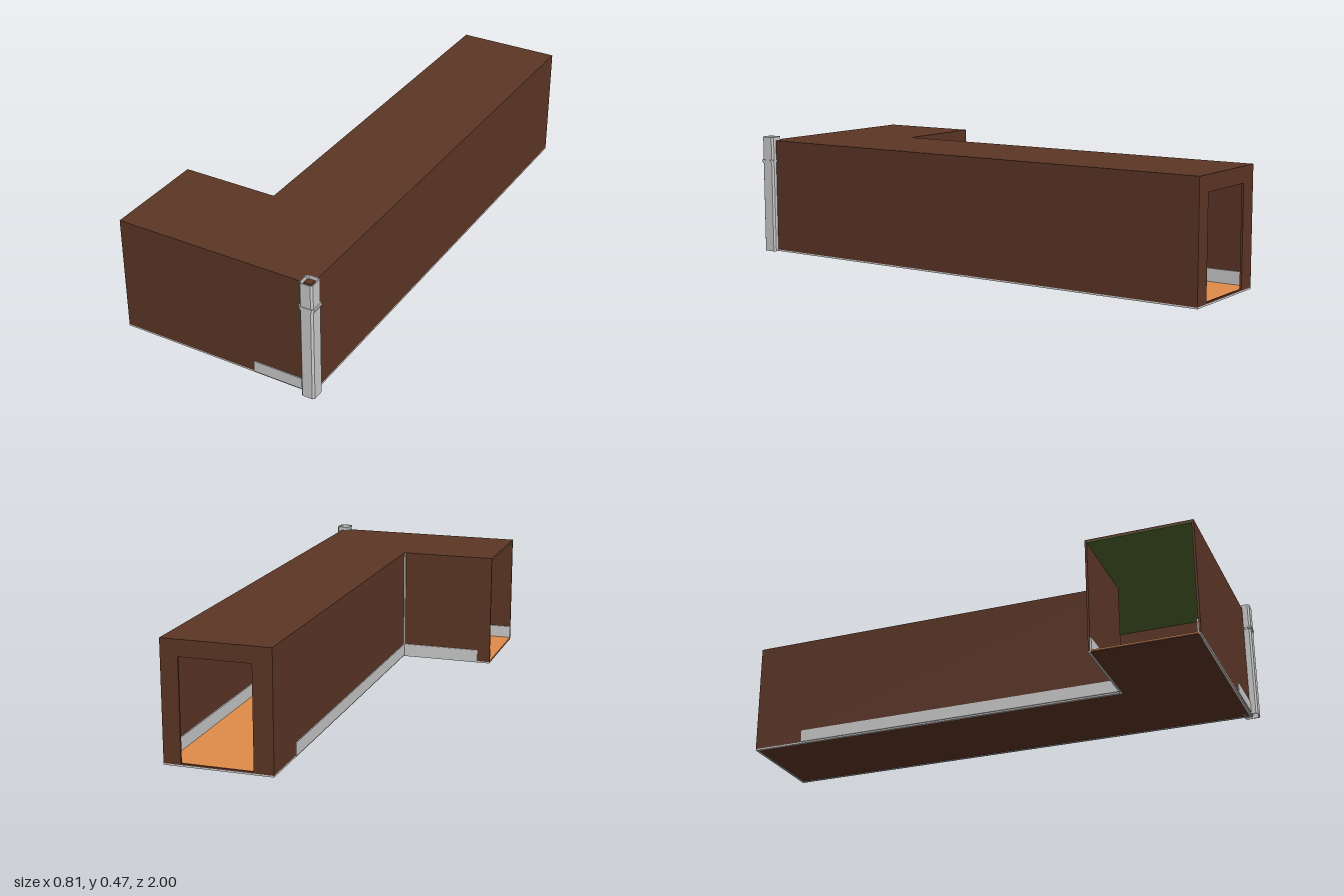
import * as THREE from 'three';

const material = (color) => new THREE.MeshStandardMaterial({ color });
const WALL = material(0x5d3626);
const FLOOR = material(0xe08c4a);
const CEILING = material(0x50692f);
const TRIM = material(0xcccccc);

// Plan limits: long wing runs along z, short wing opens towards -x
const X0 = -0.41, XI = -0.03, X1 = 0.38;
const Z0 = -1, ZI = 0.56, Z1 = 0.97;
const TOP = 0.457, T = 0.008;

export function createModel() {
  const model = new THREE.Group();
  model.name = 'corridor';

  const add = (name, geometry, mat) => {
    const mesh = new THREE.Mesh(geometry, mat);
    mesh.name = name;
    model.add(mesh);
    return mesh;
  };

  // Box given by its limits on each axis
  const box = (name, xa, xb, ya, yb, za, zb, mat) =>
    add(name, new THREE.BoxGeometry(xb - xa, yb - ya, zb - za), mat)
      .position.set((xa + xb) / 2, (ya + yb) / 2, (za + zb) / 2);

  // Extrude a plan shape upwards between two heights
  const rise = (name, shape, ya, yb, mat) => {
    const g = new THREE.ExtrudeGeometry(shape, { depth: yb - ya, bevelEnabled: false });
    g.rotateX(-Math.PI / 2).translate(0, ya, 0);
    return add(name, g, mat);
  };

  // L-shaped plan, drawn in from the outer faces
  const plan = (inset) => new THREE.Shape([
    [X0, ZI + inset], [X0, Z1 - inset], [X1 - inset, Z1 - inset],
    [X1 - inset, Z0 + inset], [XI + inset, Z0 + inset], [XI + inset, ZI + inset],
  ].map(([x, z]) => new THREE.Vector2(x, -z)));

  rise('underfloor', plan(T), 0.002, 0.007, WALL);
  rise('floor', plan(T), 0.007, 0.011, FLOOR);
  rise('ceiling', plan(T), TOP - 0.012, TOP - 0.008, CEILING);
  rise('roof', plan(0), TOP - 0.008, TOP, WALL);

  // Walls, each on a thin grey sill and with a skirting on the room side
  const S = 0.006, H = 0.05, roofUnder = TOP - 0.008;
  const walls = [
    ['outerWall', X1 - T, X1, Z0, Z1, [-1, 0]],
    ['frontWall', X0, X1 - T, Z1 - T, Z1, [0, -1]],
    ['innerLongWall', XI, XI + T, Z0, ZI + T, [1, 0]],
    ['innerShortWall', X0, XI, ZI, ZI + T, [0, 1]],
  ];
  for (const [name, xa, xb, za, zb, [nx, nz]] of walls) {
    box(name, xa, xb, S, roofUnder, za, zb, WALL);
    box(name + 'Sill', xa, xb, 0, S, za, zb, TRIM);
    const d = 0.005;
    if (nx) {
      const x = nx > 0 ? xb : xa - d;
      box(name + 'Skirting', x, x + d, 0.011, 0.011 + H, za + T, zb - T, TRIM);
    } else {
      const z = nz > 0 ? zb : za - d;
      box(name + 'Skirting', xa, xb, 0.011, 0.011 + H, z, z + d, TRIM);
    }
  }

  // Back wall with its doorway
  const end = new THREE.Shape([
    [XI + T, S], [X1 - T, S], [X1 - T, roofUnder], [XI + T, roofUnder],
  ].map((p) => new THREE.Vector2(...p)));
  end.holes.push(new THREE.Path([
    [0.044, 0.012], [0.044, 0.395], [0.314, 0.395], [0.314, 0.012],
  ].map((p) => new THREE.Vector2(...p))));
  add('backDoorway', new THREE.ExtrudeGeometry(end, { depth: T, bevelEnabled: false }), WALL)
    .position.z = Z0;
  box('backSill', XI + T, X1 - T, 0, S, Z0, Z0 + T, TRIM);

  // Skirtings and corner bead on the outside faces
  const P = 0.004;
  box('frontOuterSkirting', 0.14, X1, 0.006, H, Z1, Z1 + P, TRIM);
  box('longOuterSkirting', XI - P, XI, 0.006, 0.055, -0.79, ZI, TRIM);
  box('shortOuterSkirting', -0.357, XI, 0.006, 0.055, ZI - P, ZI, TRIM);
  box('cornerBead', XI - 0.006, XI, 0.055, TOP - 0.002, ZI - 0.006, ZI, TRIM);

  // Hollow corner pipe with bevelled corners and a stepped collar
  const octagon = (Kind, w, d, c) => new Kind([
    [-w + c, -d], [w - c, -d], [w, -d + c], [w, d - c],
    [w - c, d], [-w + c, d], [-w, d - c], [-w, -d + c],
  ].map((p) => new THREE.Vector2(...p)));
  const tube = (name, w, d, ya, yb) => {
    const shape = octagon(THREE.Shape, w, d, 0.007);
    shape.holes.push(octagon(THREE.Path, 0.023, 0.026, 0.005));
    const mesh = rise(name, shape, ya, yb, TRIM);
    mesh.position.set(0.374, 0, 0.969);
  };
  tube('cornerPipe', 0.0265, 0.029, 0, 0.472);
  tube('pipeCollarLower', 0.029, 0.030, 0.363, 0.369);
  tube('pipeCollarUpper', 0.031, 0.031, 0.369, 0.378);

  return model;
}
